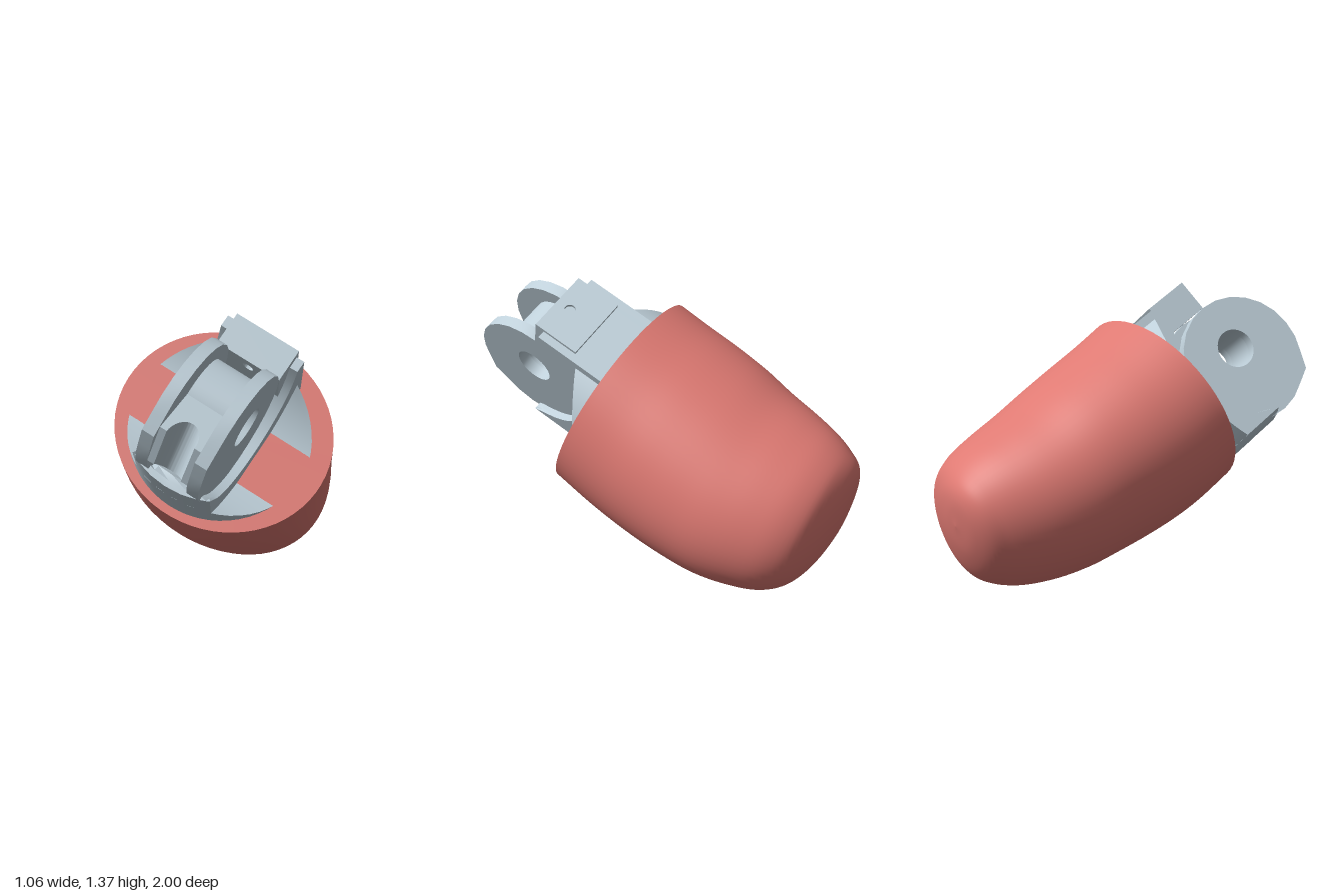
import * as THREE from 'three';
import { toCreasedNormals } from 'three/addons/utils/BufferGeometryUtils.js';

const V = (x, y, z) => new THREE.Vector3(x, y, z);

// Skin joining closed rings of equal length
function loft(rings, extra = []) {
  const n = rings[0].length, idx = [...extra];
  for (let i = 0; i < rings.length - 1; i++) {
    for (let j = 0; j < n; j++) {
      const a = i * n + j, b = i * n + (j + 1) % n, c = a + n, d = b + n;
      idx.push(a, c, b, b, c, d);
    }
  }
  const geo = new THREE.BufferGeometry().setFromPoints(rings.flat());
  geo.setIndex(idx);
  return geo;
}

export function createModel() {
  const red = new THREE.MeshStandardMaterial({ color: 0xdf7a73 });
  red.name = 'coral red';
  const grey = new THREE.MeshStandardMaterial({ color: 0xbfd0da });
  grey.name = 'pale blue grey';

  const model = new THREE.Group();
  model.name = 'fingertip';
  const add = (parent, name, geo, mat) => {
    const mesh = new THREE.Mesh(geo, mat);
    mesh.name = name;
    parent.add(mesh);
    return mesh;
  };

  // Fingertip shell: [topZ, topY, bottomZ, bottomY, leftmost x, rightmost x, skew]
  const stations = [
    [0, 1.23, 0.45, 0.35, -0.53, 0.51, 0.07],
    [-0.15, 1.145, 0.25, 0.23, -0.522, 0.515, 0.09],
    [-0.3, 1.065, 0.05, 0.14, -0.505, 0.525, 0.12],
    [-0.45, 0.98, -0.15, 0.07, -0.475, 0.53, 0.15],
    [-0.6, 0.885, -0.33, 0.02, -0.435, 0.525, 0.16],
    [-0.75, 0.805, -0.5, 0, -0.38, 0.497, 0.17],
    [-0.87, 0.735, -0.64, 0.005, -0.315, 0.455, 0.19],
    [-0.945, 0.67, -0.75, 0.04, -0.255, 0.39, 0.22],
    [-0.985, 0.61, -0.84, 0.11, -0.205, 0.265, 0.25],
    [-0.998, 0.54, -0.93, 0.26, -0.13, 0.11, 0.25],
    [-0.98, 0.41, -0.98, 0.41, -0.01, -0.01, 0.25],
  ];
  const topCurve = new THREE.CatmullRomCurve3(stations.map(s => V(s[4], s[1], s[0])));
  const lowCurve = new THREE.CatmullRomCurve3(stations.map(s => V(s[5], s[3], s[2])));
  const skewCurve = new THREE.CatmullRomCurve3(stations.map((s, i) => V(s[6], i, 0)));
  const rings = [], steps = 50, sides = 64;
  for (let i = 0; i <= steps; i++) {
    const t = i / steps;
    const a = topCurve.getPoint(t), b = lowCurve.getPoint(t), skew = skewCurve.getPoint(t).x;
    rings.push(Array.from({ length: sides }, (_, j) => {
      const q = j / sides * Math.PI * 2;
      const u = (1 + Math.cos(q)) / 2, v = (1 - Math.sin(q - skew)) / 2;
      return V(a.x + (b.x - a.x) * u, a.y + (b.y - a.y) * v, a.z + (b.z - a.z) * v);
    }));
  }
  const shell = loft(rings);
  shell.computeVertexNormals();
  add(model, 'fingertipShell', shell, red);

  // Flat end face of the shell
  const face = new THREE.BufferGeometry().setFromPoints([V(-0.01, 0.79, 0.225), ...rings[0]]);
  face.setIndex(Array.from({ length: sides }, (_, j) => [0, j + 1, (j + 1) % sides + 1]).flat());
  face.computeVertexNormals();
  add(model, 'shellEndFace', face, red);

  // Joint frame: z runs out of the end face, x along the hinge
  const joint = new THREE.Group();
  joint.name = 'hingeJoint';
  joint.position.set(-0.01, 0.79, 0.225);
  joint.rotation.set(-0.4725, 0, -0.576);
  model.add(joint);
  const midX = -0.012, hingeY = -0.035, hingeZ = 0.433;

  // Round plug scooped by a cylinder around the hinge
  function scooped(halfWidth, radius, topRadius, maxZ, segX) {
    const n = 28, slices = [], caps = [], back = -0.08, plugR = 0.445;
    for (let i = 0; i <= segX; i++) {
      const x = halfWidth * Math.cos(i / segX * Math.PI);
      const arch = Math.sqrt(1 - (x / plugR) ** 2);
      const top = Math.min(0.375, topRadius * arch), low = -plugR * arch, ring = [];
      for (let j = 0; j < n; j++) {
        const y = top + (low - top) * j / (n - 1);
        const z = hingeZ - Math.sqrt(Math.max(0, radius ** 2 - (y - hingeY) ** 2));
        ring.push(V(x + midX, y, Math.min(z, maxZ)));
      }
      slices.push([...ring, ...ring.map(p => V(p.x, p.y, back)).reverse()]);
    }
    const m = 2 * n, o = segX * m;
    for (let j = 0; j < n - 1; j++) {
      const a = j, b = j + 1, c = m - 1 - j, d = m - 2 - j;
      caps.push(a, b, c, b, d, c, o + a, o + c, o + b, o + b, o + c, o + d);
    }
    return toCreasedNormals(loft(slices, caps), 0.5);
  }
  add(joint, 'socketPlug', scooped(0.44, 0.457, 0.375, 0.42, 28), grey);
  add(joint, 'socketCheeks', scooped(0.205, 0.35, 0.445, 0.385, 8), grey);

  // Extrusion laid along chosen axes, centred on its depth; bend may move its vertices first
  function extrude(shape, depth, u, v, w, bend) {
    const geo = new THREE.ExtrudeGeometry(shape, { depth, bevelEnabled: false, curveSegments: 20 });
    geo.translate(0, 0, -depth / 2);
    if (bend) {
      const pos = geo.attributes.position;
      for (let i = 0; i < pos.count; i++) {
        const p = bend(V(0, 0, 0).fromBufferAttribute(pos, i));
        pos.setXYZ(i, p.x, p.y, p.z);
      }
    }
    geo.applyMatrix4(new THREE.Matrix4().makeBasis(u, v, w));
    return toCreasedNormals(geo, 0.5);
  }
  const X = V(1, 0, 0), Y = V(0, 1, 0), Z = V(0, 0, 1);
  const hole = r => new THREE.Path().absarc(0, 0, r, 0, Math.PI * 2, true);

  // Stop block over the hinge, with a pin hole in its top
  const stop = new THREE.Shape([[-0.16, -0.165], [0.077, -0.165], [0.077, 0.165], [-0.16, 0.165]]
    .map(p => new THREE.Vector2(...p)));
  stop.holes.push(hole(0.028));
  add(joint, 'stopBlock', extrude(stop, 0.165, Z, X, Y), grey).position.set(midX, 0.3075, 0.356);

  // Two hinge discs with a slight front corner
  const disc = new THREE.Shape(Array.from({ length: 24 }, (_, k) => {
    const q = k / 24 * Math.PI * 2, r = k === 9 ? 0.345 : 0.325;
    return new THREE.Vector2(-0.065 + r * Math.cos(q), r * Math.sin(q));
  }));
  disc.holes.push(hole(0.098));
  const discGeo = extrude(disc, 0.06, Y, Z, X);
  for (const s of [-1, 1]) {
    add(joint, s > 0 ? 'leftHingeDisc' : 'rightHingeDisc', discGeo, grey)
      .position.set(midX + s * 0.1335, hingeY, hingeZ);
  }

  // Hub between the discs
  const hub = new THREE.Shape().absarc(0, 0, 0.19, 0, Math.PI * 2, false);
  hub.holes.push(hole(0.098));
  add(joint, 'hingeHub', extrude(hub, 0.21, Y, Z, X), grey).position.set(midX, hingeY, hingeZ);

  // Front pad with a cord groove, sloping back to the hub above and following the discs below
  const pad = new THREE.Shape();
  pad.moveTo(0.14, -0.115);
  pad.lineTo(0.34, -0.115);
  pad.lineTo(0.34, -0.07);
  pad.absarc(0.34, 0, 0.07, -Math.PI / 2, Math.PI / 2, true);
  pad.lineTo(0.34, 0.115);
  pad.lineTo(0.14, 0.115);
  const slope = p => p.z > 0
    ? V(p.x, p.y, -0.13 + (0.34 - p.x))
    : V(p.x - 0.11, p.y, -0.31);
  const tilt = 0.43, c = Math.cos(tilt), s = Math.sin(tilt);
  add(joint, 'cordGuide', extrude(pad, 0.2, V(0, -s, c), X, V(0, c, s), slope), grey)
    .position.set(midX, hingeY, hingeZ);

  return model;
}
